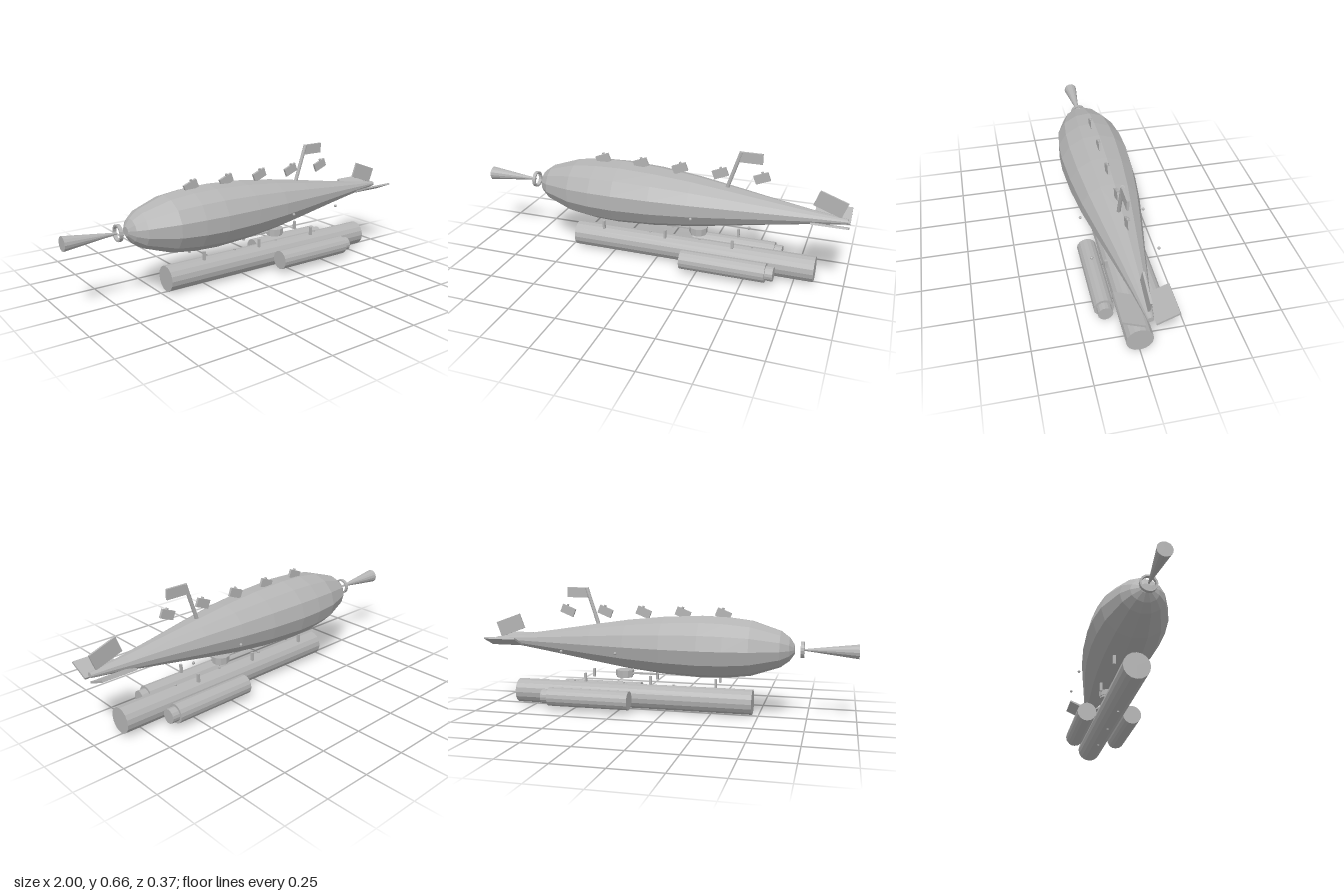
import * as THREE from 'three';

export function createModel() {
  const model = new THREE.Group();
  model.name = 'submarine';
  const grey = new THREE.MeshStandardMaterial({ color: 0xb4b4b4, flatShading: true });
  grey.name = 'hull grey';

  const add = (name, geometry, x, y, z, tiltX = 0, tiltZ = 0, parent = model) => {
    const mesh = new THREE.Mesh(geometry, grey);
    mesh.name = name;
    mesh.position.set(x, y, z);
    mesh.rotation.set(tiltX, 0, tiltZ);
    parent.add(mesh);
    return mesh;
  };
  const box = (w, h, d) => new THREE.BoxGeometry(w, h, d);
  // Cylinder lying along x, from x0 (radius r0) to x1 (radius r1)
  const tube = (name, x0, x1, r0, r1, y, z, sides = 16) =>
    add(name, new THREE.CylinderGeometry(r1, r0, x1 - x0, sides).rotateZ(-Math.PI / 2), (x0 + x1) / 2, y, z);

  const axisY = 0.361;

  // Faceted hull: [x, half width]; slightly flattened in height
  const profile = [
    [-0.68, 0], [-0.68, 0.028], [-0.655, 0.07], [-0.61, 0.109], [-0.46, 0.167], [-0.33, 0.185],
    [-0.2, 0.19], [0, 0.178], [0.2, 0.153], [0.4, 0.117], [0.6, 0.079], [0.8, 0.043], [0.985, 0.015], [0.985, 0],
  ].map(([x, r]) => new THREE.Vector2(r, x));
  const hull = new THREE.LatheGeometry(profile, 13, Math.PI);
  hull.rotateZ(-Math.PI / 2).scale(1, 0.865, 1);
  add('hull', hull, 0, axisY, 0);

  // Nose ring and cone
  const ringProfile = [[0.034, -0.009], [0.043, -0.009], [0.043, 0.009], [0.034, 0.009], [0.034, -0.009]]
    .map(([r, x]) => new THREE.Vector2(r, x));
  add('noseRing', new THREE.LatheGeometry(ringProfile, 16).rotateZ(-Math.PI / 2), -0.72, axisY, 0);
  tube('noseCone', -1, -0.725, 0.037, 0.004, axisY, 0, 14);

  // Row of tilted plates with small nubs along the back
  for (let i = 0; i < 5; i++) {
    const plate = new THREE.Group();
    plate.name = 'backPlate';
    plate.position.set(-0.31 + i * 0.215, 0.532, 0);
    plate.rotation.z = 0.38;
    add('plateBody', box(0.078, 0.045, 0.013), 0, 0, 0, 0, 0, plate);
    add('plateNub', new THREE.CylinderGeometry(0.007, 0.007, 0.01, 8), 0.012, 0.026, 0, 0, 0, plate);
    model.add(plate);
  }

  // Leaning mast with flag
  add('mast', new THREE.CylinderGeometry(0.01, 0.01, 0.21, 10), 0.407, 0.558, 0, 0, -0.32);
  add('flag', box(0.115, 0.054, 0.012), 0.492, 0.632, 0);

  // Tail fins
  add('topFin', box(0.15, 0.085, 0.01), 0.897, 0.441, 0, 0, -0.35);
  for (const side of [-1, 1]) {
    add('sideFin', box(0.18, 0.01, 0.114), 0.907, 0.36, side * 0.076, -side * 0.41);
  }

  // Fittings under the belly
  add('bellyPodUpper', new THREE.CylinderGeometry(0.049, 0.049, 0.03, 10), 0.228, 0.202, 0);
  add('bellyPodLower', new THREE.CylinderGeometry(0.044, 0.044, 0.014, 10), 0.228, 0.184, 0);
  add('bellyRail', box(0.14, 0.008, 0.02), 0.12, 0.2, 0);

  // Main cylinder with clamp pins
  tube('mainCylinder', -0.47, 0.85, 0.067, 0.067, 0.073, 0.002);
  for (const x of [-0.043, 0.236, 0.52]) {
    add('clampPin', new THREE.CylinderGeometry(0.006, 0.006, 0.146, 8), x, 0.073, 0.002);
  }

  // Mirrored side tanks, hanger posts and side lamps
  for (const side of [-1, 1]) {
    tube('sideTank', 0.17, 0.62, 0.051, 0.051, 0.073, side * 0.124);
    tube('sideTankCap', 0.62, 0.66, 0.038, 0.038, 0.073, side * 0.124);
    for (const x of [-0.285, 0.065, 0.43]) {
      add('hangerPost', box(0.012, 0.046, 0.014), x, 0.178, side * 0.071 + 0.003);
    }
    for (const x of [0.23, 0.53]) {
      add('sideLamp', new THREE.SphereGeometry(0.008, 8, 6), x, 0.33, side * 0.164);
    }
  }
  return model;
}
